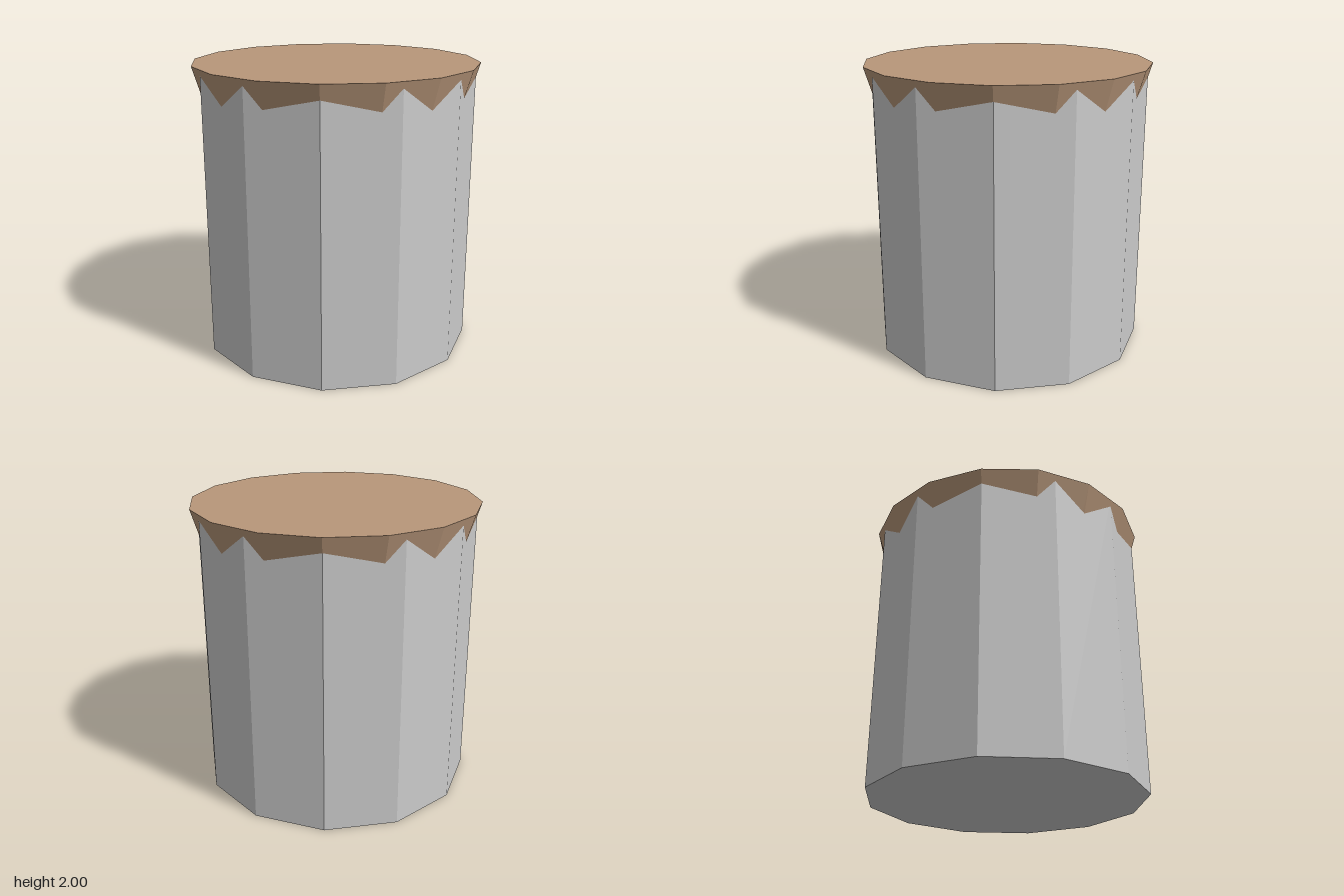
import * as THREE from 'three';

// Faceted, closed drum standing between two heights
function drum(name, topRadius, bottomRadius, bottom, top, sides, color) {
  const geometry = new THREE.CylinderGeometry(topRadius, bottomRadius, top - bottom, sides);
  const material = new THREE.MeshStandardMaterial({ color, flatShading: true });
  const mesh = new THREE.Mesh(geometry, material);
  mesh.name = name;
  mesh.position.y = (bottom + top) / 2;
  return mesh;
}

export function createModel() {
  const model = new THREE.Group();
  model.name = 'stump';

  // Twelve-sided body, a hair below the cap's top so the two do not flicker
  model.add(drum('body', 0.957, 0.957, 0, 1.998, 12, 0xcccccc));

  // Sixteen-sided tapered core: only its flared top breaks through the body,
  // which makes the zigzag rim
  model.add(drum('taperedCap', 0.987, 0.384, 0.002, 2, 16, 0xb8977a));

  return model;
}
